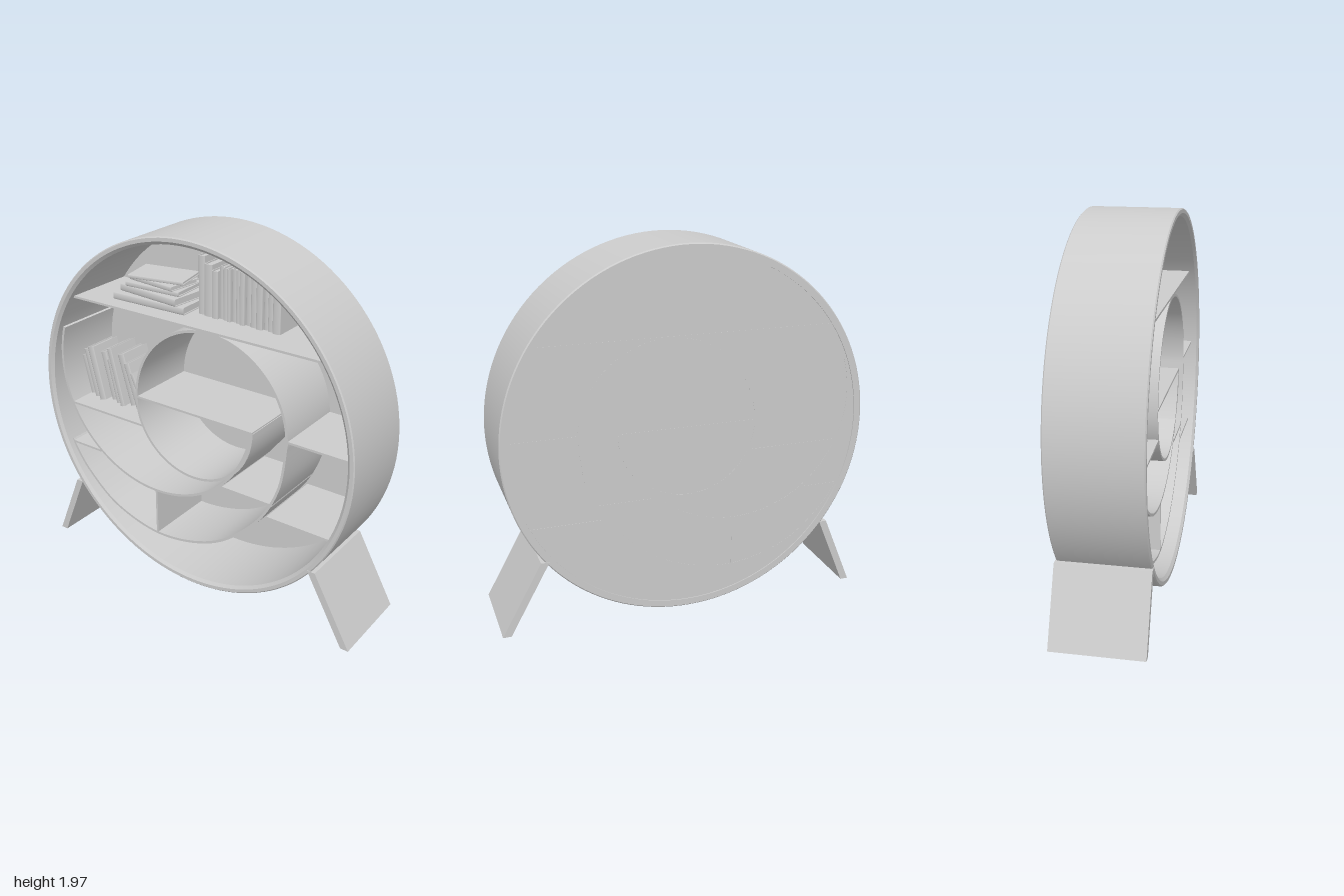
import * as THREE from 'three';
import { toCreasedNormals } from 'three/addons/utils/BufferGeometryUtils.js';

const CX = -0.02, CY = 0.985, BACK = -0.231, FRONT = 0.19;
const material = new THREE.MeshStandardMaterial({ color: 0xcccccc });

function add(parent, name, geometry, x = 0, y = 0, z = 0) {
  const mesh = new THREE.Mesh(geometry, material);
  mesh.name = name;
  mesh.position.set(x, y, z);
  parent.add(mesh);
  return mesh;
}

const box = (w, h, d) => new THREE.BoxGeometry(w, h, d);
const v2 = (x, y) => new THREE.Vector2(x, y);

// Points on an arc, angles in degrees
function arc(cx, cy, r, from, to, n = 40) {
  return Array.from({ length: n + 1 }, (_, i) => {
    const a = THREE.MathUtils.degToRad(from + (to - from) * i / n);
    return v2(cx + r * Math.cos(a), cy + r * Math.sin(a));
  });
}

// Thin wall that follows a path and runs the depth of the case
function wall(points, thickness = 0.014) {
  const left = [], right = [];
  points.forEach((p, i) => {
    const a = points[Math.max(i - 1, 0)], b = points[Math.min(i + 1, points.length - 1)];
    const t = b.clone().sub(a).normalize().multiplyScalar(thickness / 2);
    left.push(v2(p.x - t.y, p.y + t.x));
    right.unshift(v2(p.x + t.y, p.y - t.x));
  });
  const geometry = new THREE.ExtrudeGeometry(new THREE.Shape([...left, ...right]),
    { depth: FRONT - BACK, bevelEnabled: false });
  geometry.translate(0, 0, BACK);
  return toCreasedNormals(geometry, 0.5);
}

// Book standing on its bottom edge, spine toward +z
function book(w, h, d) {
  const group = new THREE.Group();
  group.name = 'book';
  const board = Math.min(0.004, w * 0.2);
  for (const s of [-1, 1]) add(group, 'cover', box(board, h, d), s * (w - board) / 2, h / 2, 0);
  const spine = new THREE.CylinderGeometry(w / 2, w / 2, h, 10, 1, false, -Math.PI / 2, Math.PI);
  spine.scale(1, 1, 0.3);
  add(group, 'spine', spine, 0, h / 2, d / 2);
  add(group, 'pages', box(w - board * 2, h - 0.014, d - 0.008), 0, h / 2, 0.004);
  return group;
}

export function createModel() {
  const model = new THREE.Group();
  model.name = 'roundBookcase';

  // Round case with softened rims
  const profile = [[0.942, -0.235], [0.977, -0.235], [0.983, -0.229], [0.983, 0.23], [0.977, 0.236],
    [0.958, 0.236], [0.942, 0.222], [0.942, -0.235]].map(([x, y]) => v2(x, y));
  const ring = new THREE.LatheGeometry(profile, 128);
  ring.rotateX(Math.PI / 2);
  add(model, 'roundCase', toCreasedNormals(ring, 0.5), CX, CY, 0);

  // Back panel
  const panel = new THREE.CylinderGeometry(0.945, 0.945, 0.01, 128);
  panel.rotateX(Math.PI / 2);
  add(model, 'backPanel', panel, CX, CY, -0.225);

  // Spiral divider: half turns growing outward until they reach the case
  const sweep = new THREE.SplineCurve([[0.565, 1.025], [0.524, 0.757], [0.385, 0.51], [0.118, 0.29],
    [-0.23, 0.206], [-0.55, 0.28], [-0.765, 0.447], [-0.888, 0.618]].map(([x, y]) => v2(x, y)));
  add(model, 'spiralDivider', wall([
    ...arc(-0.013, 1.025, 0.372, 0, -180),
    ...arc(0.09, 1.025, 0.475, 180, 0).slice(1),
    ...sweep.getPoints(60).slice(1),
  ]));
  add(model, 'outerDivider', wall(arc(-0.278, 1.126, 0.642, -9, -197, 70)));

  // Shelves: left end, right end, height
  const shelves = [[-0.81, 0.775, 1.508], [-0.385, 0.362, 1.027], [0.565, 0.92, 1.042], [-0.865, -0.35, 0.862],
    [-0.88, -0.67, 0.606], [0.18, 0.49, 0.655], [0.46, 0.83, 0.574]];
  for (const [a, b, y] of shelves) {
    add(model, 'shelf', box(b - a, 0.012, FRONT - BACK), (a + b) / 2, y, (FRONT + BACK) / 2);
  }
  add(model, 'uprightDivider', box(0.012, 0.275, FRONT - BACK), -0.266, 0.343, (FRONT + BACK) / 2);

  // Splayed legs
  const legs = [
    ['rightLeg', [[-0.985, 0], [-0.943, 0], [-0.785, 0.385], [-0.827, 0.385]]],
    ['leftLeg', [[0.955, 0], [1, 0], [0.785, 0.39], [0.74, 0.39]]],
  ];
  for (const [name, corners] of legs) {
    const shape = new THREE.Shape(corners.map(([x, y]) => v2(x, y)));
    add(model, name, new THREE.ExtrudeGeometry(shape, { depth: 0.478, bevelEnabled: false }), 0, 0, -0.239);
  }

  // Upright row on the top shelf: width, height
  const row = [[0.04, 0.31], [0.05, 0.275], [0.038, 0.25], [0.026, 0.275], [0.024, 0.275], [0.022, 0.275],
    [0.026, 0.275], [0.024, 0.275], [0.03, 0.275], [0.03, 0.275], [0.035, 0.275], [0.036, 0.31],
    [0.026, 0.335], [0.03, 0.31], [0.046, 0.295]];
  let x = -0.095;
  row.forEach(([w, h], i) => {
    const b = book(w, h, 0.2);
    b.position.set(x + w / 2, 1.514, -0.09 + (i % 3) * 0.008);
    model.add(b);
    x += w + 0.0015;
  });

  // Leaning row on the left shelf: foot x, width, height, lean in degrees
  const leaning = [[-0.835, 0.04, 0.23, 14], [-0.785, 0.04, 0.285, 14], [-0.73, 0.045, 0.315, 14],
    [-0.675, 0.04, 0.29, 14], [-0.63, 0.03, 0.26, 13], [-0.585, 0.03, 0.34, 14], [-0.535, 0.045, 0.305, 16],
    [-0.48, 0.038, 0.27, 18], [-0.415, 0.022, 0.235, 24]];
  leaning.forEach(([foot, w, h, lean], i) => {
    const b = book(w, h, 0.2);
    const a = THREE.MathUtils.degToRad(lean);
    b.rotation.z = a;
    b.position.set(foot, 0.868 + Math.sin(a) * w / 2, -0.06 + (i % 3) * 0.02);
    model.add(b);
  });

  // Flat stack on the top shelf: centre x, thickness, length, depth, turn
  const stack = [[-0.37, 0.04, 0.46, 0.26, 0.03], [-0.365, 0.04, 0.4, 0.24, -0.1], [-0.36, 0.025, 0.34, 0.22, 0.05],
    [-0.36, 0.025, 0.31, 0.2, -0.12], [-0.36, 0.018, 0.32, 0.2, 0.2]];
  let y = 1.514;
  for (const [cx, t, length, depth, turn] of stack) {
    const b = book(t, length, depth);
    b.rotation.z = Math.PI / 2;
    b.position.x = length / 2;
    const holder = new THREE.Group();
    holder.name = 'stackedBook';
    holder.add(b);
    holder.rotation.y = turn;
    holder.position.set(cx, y + t / 2, -0.04);
    model.add(holder);
    y += t + 0.001;
  }

  return model;
}
